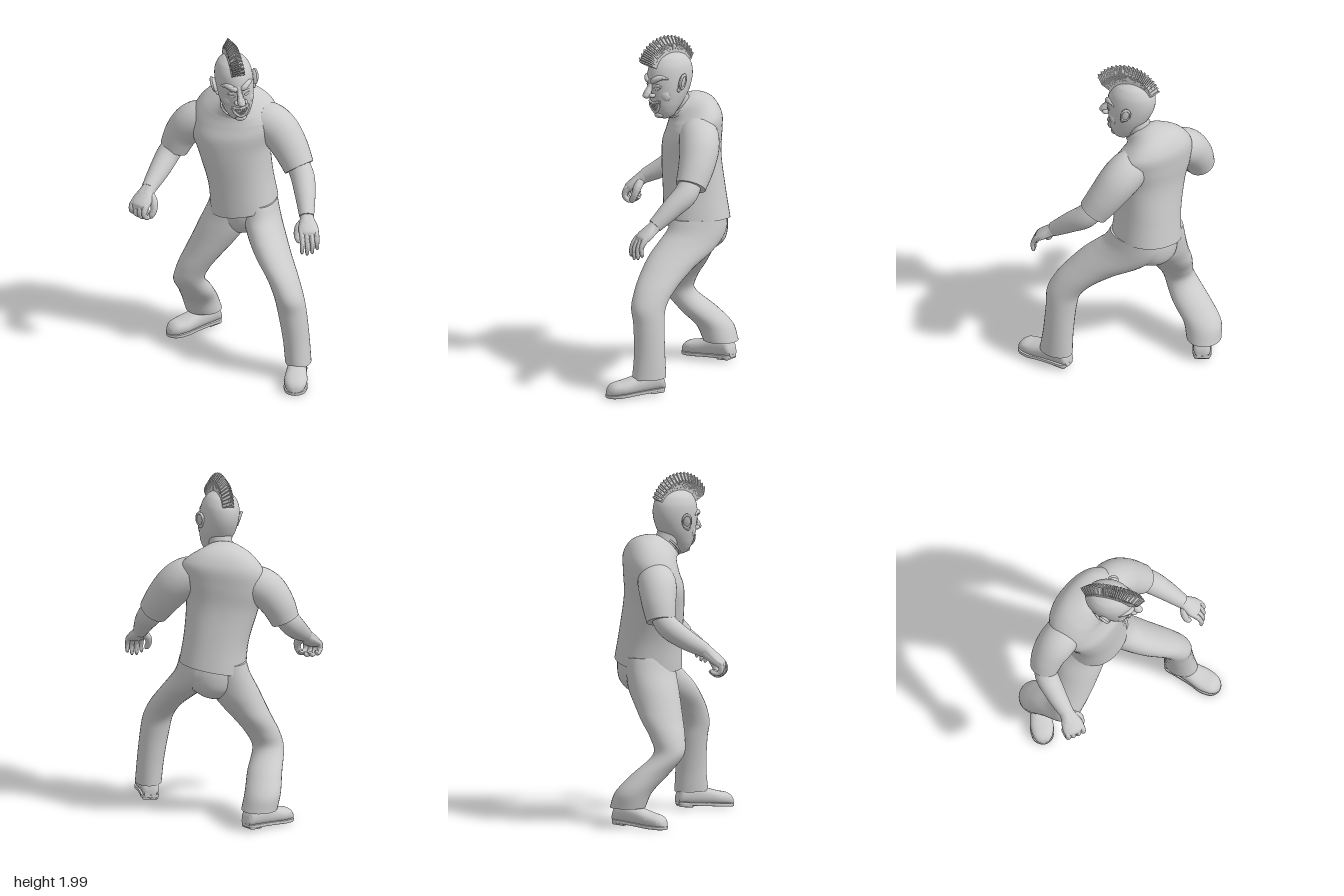
import * as THREE from 'three';
import { toCreasedNormals } from 'three/addons/utils/BufferGeometryUtils.js';
import { RoundedBoxGeometry } from 'three/addons/geometries/RoundedBoxGeometry.js';

const mat = new THREE.MeshStandardMaterial({ color: 0xcccccc, side: THREE.DoubleSide });
const V = (x, y, z) => new THREE.Vector3(x, y, z);

function add(parent, name, geo, pos = [0, 0, 0], rot = [0, 0, 0], scale = [1, 1, 1]) {
  const m = new THREE.Mesh(geo, mat);
  m.name = name;
  m.position.set(...pos);
  m.rotation.set(...rot);
  m.scale.set(...scale);
  parent.add(m);
  return m;
}
function group(parent, name) {
  const g = new THREE.Group();
  g.name = name;
  parent.add(g);
  return g;
}

// Smooth closed skin through elliptical sections [x, y, z, width, depth]; side = direction of width,
// axis(t) = optional ring normal, square = superellipse exponent
function loft(sections, { side = V(1, 0, 0), axis = null, seg = 28, steps = 6, crease = 0.9, square = 2 } = {}) {
  const path = new THREE.CatmullRomCurve3(sections.map(s => V(s[0], s[1], s[2])));
  const size = new THREE.CatmullRomCurve3(sections.map(s => V(s[3], s[4] ?? s[3], 0)), false, 'catmullrom', 0.5);
  const rows = (sections.length - 1) * steps, pos = [], idx = [];
  const bulge = c => Math.sign(c) * Math.abs(c) ** (2 / square);
  for (let i = 0; i <= rows; i++) {
    const p = path.getPoint(i / rows), r = size.getPoint(i / rows);
    const t = axis ? axis(i / rows) : path.getTangent(i / rows);
    const u = side.clone().addScaledVector(t, -side.dot(t)).normalize();
    const v = t.clone().cross(u);
    for (let j = 0; j < seg; j++) {
      const a = j / seg * Math.PI * 2;
      const q = p.clone().addScaledVector(u, bulge(Math.cos(a)) * Math.max(r.x, 0.002))
        .addScaledVector(v, bulge(Math.sin(a)) * Math.max(r.y, 0.002));
      pos.push(q.x, q.y, q.z);
      const k = i * seg + j, n = i * seg + (j + 1) % seg;
      if (i < rows) idx.push(k, n, k + seg, n, n + seg, k + seg);
    }
  }
  const first = pos.length / 3;
  pos.push(...sections[0].slice(0, 3), ...sections.at(-1).slice(0, 3));
  for (let j = 0; j < seg; j++) {
    const n = (j + 1) % seg, top = rows * seg;
    idx.push(first, n, j, first + 1, top + j, top + n);
  }
  const g = new THREE.BufferGeometry();
  g.setAttribute('position', new THREE.Float32BufferAttribute(pos, 3));
  g.setIndex(idx);
  return toCreasedNormals(g, crease);
}
const upright = () => V(0, 1, 0), downward = () => V(0, -1, 0);
const ball = new THREE.SphereGeometry(1, 24, 16);

// Head cross-sections: height, z centre, half width, half depth
const SKULL = [[-0.18, 0, 0.02, 0.02], [-0.168, -0.002, 0.043, 0.045], [-0.14, -0.005, 0.064, 0.066],
  [-0.1, -0.015, 0.083, 0.09], [-0.03, -0.035, 0.101, 0.12], [0.05, -0.047, 0.108, 0.138],
  [0.12, -0.052, 0.102, 0.13], [0.17, -0.053, 0.077, 0.097], [0.195, -0.053, 0.04, 0.052], [0.203, -0.053, 0.003, 0.003]];
function faceZ(x, y) {
  let i = 0;
  while (i < SKULL.length - 2 && SKULL[i + 1][0] < y) i++;
  const k = (y - SKULL[i][0]) / (SKULL[i + 1][0] - SKULL[i][0]);
  const [, c, w, d] = SKULL[i].map((s, n) => THREE.MathUtils.lerp(s, SKULL[i + 1][n], k));
  return c + d * Math.sqrt(Math.max(0, 1 - (x / w) ** 2));
}

function buildHead(root) {
  const head = group(root, 'head');
  head.position.set(0.078, 1.7, 0);
  head.rotation.z = 0.1;
  add(head, 'skull', loft(SKULL.map(([y, z, w, d]) => [0, y, z, w, d]), { axis: upright, seg: 40 }));

  // Nose, brow, eyes, cheeks and ears
  add(head, 'noseBridge', loft([[0, 0.06, 0.08, 0.012], [0, 0.01, 0.096, 0.016], [0, -0.03, 0.116, 0.023], [0, -0.048, 0.11, 0.008]]));
  add(head, 'noseTip', ball, [0, -0.03, 0.12], [0.3, 0, 0], [0.022, 0.018, 0.023]);
  for (const s of [-1, 1]) {
    add(head, 'nostril', ball, [s * 0.023, -0.034, 0.097], [0, 0, 0], [0.016, 0.013, 0.02]);
    add(head, 'brow', loft([[s * 0.006, 0.036, 0.086, 0.008], [s * 0.03, 0.052, 0.085, 0.017], [s * 0.062, 0.068, 0.062, 0.015], [s * 0.09, 0.058, 0.024, 0.005]], { side: V(0, 1, 0) }));
    add(head, 'eye', ball, [s * 0.042, 0.022, 0.066], [0, 0, 0], [0.02, 0.014, 0.015]);
    add(head, 'lowerEyelid', loft([[s * 0.018, 0.012, 0.082, 0.003], [s * 0.042, 0.003, 0.076, 0.008], [s * 0.068, 0.016, 0.056, 0.003]], { side: V(0, 1, 0) }));
    add(head, 'cheek', ball, [s * 0.056, -0.036, 0.034], [0, s * 0.6, s * 0.4], [0.036, 0.042, 0.026]);
    const ear = group(head, s > 0 ? 'leftEar' : 'rightEar');
    ear.position.set(s * 0.113, 0.03, -0.05);
    ear.rotation.set(-0.12, s * 0.45, -s * 0.18);
    add(ear, 'earBowl', ball, [0, 0, 0], [0, 0, 0], [0.014, 0.05, 0.028]);
    add(ear, 'earRim', new THREE.TorusGeometry(0.028, 0.006, 10, 28), [s * 0.008, 0.008, 0], [0, Math.PI / 2, 0], [0.9, 1.4, 1.2]);
    add(ear, 'earLobe', ball, [-s * 0.004, -0.042, 0.008], [0, 0, 0], [0.01, 0.016, 0.015]);
  }

  // Wide grin: curved lips with a row of teeth above and below
  const smile = (x, y, bend) => y + bend * (x / 0.05) ** 2;
  for (const [name, y, bend, r] of [['upperLip', -0.082, 0.014, 0.0075], ['lowerLip', -0.136, 0.062, 0.009]]) {
    const pts = [-0.052, -0.038, -0.02, 0, 0.02, 0.038, 0.052].map((x, i) => {
      const yy = smile(x, y, bend);
      return [x, yy, faceZ(x, yy) + 0.004, i % 6 ? r : 0.003];
    });
    add(head, name, loft(pts, { side: V(0, 1, 0), seg: 12 }));
  }
  for (let i = -3; i <= 3; i++) for (const [y, bend, name] of [[-0.097, 0.021, 'upperTooth'], [-0.118, 0.043, 'lowerTooth']]) {
    const x = i * 0.0115, yy = smile(x, y, bend);
    add(head, name, new RoundedBoxGeometry(0.0105, 0.021 - Math.abs(i) * 0.002, 0.012, 2, 0.003), [x, yy, faceZ(x, yy)], [0.25, x * 9, 0]);
  }
  add(head, 'chin', ball, [0, -0.155, 0.04], [0, 0, 0], [0.034, 0.02, 0.026]);

  // Crest of thin pointed plates fanned over the skull
  const crest = group(head, 'mohawk');
  const count = 38;
  for (let i = 0; i < count; i++) {
    const k = i / (count - 1), a = THREE.MathUtils.degToRad(30 + 118 * k);
    const tip = 0.238 - 0.05 * k * k + (i % 2) * 0.008, w = 0.036 - 0.003 * k;
    const plate = new THREE.Shape([[-w, 0.09], [w, 0.09], [w, tip - 0.045], [0, tip], [-w, tip - 0.04]].map(p => new THREE.Vector2(...p)));
    const geo = new THREE.ExtrudeGeometry(plate, { depth: 0.008, bevelEnabled: false });
    add(crest, 'crestPlate', geo, [0.003, 0.06, -0.05], [Math.PI / 2 - a, 0, 0]);
  }
}

// Hand in its own frame: +y along the fingers, +x to the thumb, palm on the +z or -z side
function buildHand(root, name, wrist, thumbDir, fingerDir, palm, curl, scale) {
  const hand = group(root, name);
  const y = fingerDir.normalize(), x = thumbDir.addScaledVector(y, -thumbDir.dot(y)).normalize();
  hand.applyMatrix4(new THREE.Matrix4().makeBasis(x, y, x.clone().cross(y)).setPosition(...wrist));
  hand.scale.setScalar(scale);
  add(hand, 'palm', loft([[0, -0.025, 0, 0.032, 0.032], [0, 0.01, 0, 0.036, 0.03], [0, 0.06, 0, 0.05, 0.026], [0, 0.095, 0, 0.047, 0.021], [0, 0.112, 0, 0.02, 0.006]]));
  for (let f = 0; f < 4; f++) {
    const fx = 0.036 - f * 0.024, len = [0.031, 0.034, 0.032, 0.026][f], pts = [[fx, 0.078, 0, 0.014]];
    let py = 0.096, pz = 0;
    pts.push([fx, py, pz, 0.015]);
    for (let j = 1; j <= 3; j++) {
      const a = curl * (j - 0.4) + f * 0.05;
      py += Math.cos(a) * len;
      pz += palm * Math.sin(a) * len;
      pts.push([fx * (1 + j * 0.03), py, pz, 0.0145 - j * 0.0018]);
    }
    const e = pts.at(-1), b = pts.at(-2);
    pts.push([e[0], e[1] + (e[1] - b[1]) * 0.28, e[2] + (e[2] - b[2]) * 0.28, 0.004]);
    add(hand, 'finger', loft(pts, { seg: 12, steps: 4, crease: 1.4 }));
  }
  add(hand, 'thumb', loft([[0.02, 0.02, palm * 0.005, 0.02], [0.046, 0.045, palm * 0.022, 0.019], [0.055, 0.075, palm * 0.042, 0.015],
    [0.048, 0.1, palm * 0.055, 0.013], [0.043, 0.112, palm * 0.059, 0.004]], { side: V(0, 0, 1), seg: 14, crease: 1.4 }));
}

// Shoe along +z with the heel behind the ankle
function buildShoe(root, name, pos, yaw) {
  const shoe = group(root, name);
  shoe.position.set(...pos);
  shoe.rotation.set(0.07, yaw, 0, 'YXZ');
  const outline = new THREE.Shape();
  outline.setFromPoints(new THREE.SplineCurve([[0, -0.092], [0.045, -0.075], [0.05, 0], [0.055, 0.09], [0.065, 0.16], [0.05, 0.225],
    [0, 0.252], [-0.05, 0.225], [-0.065, 0.16], [-0.055, 0.09], [-0.05, 0], [-0.045, -0.075], [0, -0.092]].map(p => new THREE.Vector2(...p))).getPoints(60));
  const sole = new THREE.ExtrudeGeometry(outline, { depth: 0.012, bevelSize: 0.003, bevelThickness: 0.003, bevelSegments: 2 });
  add(shoe, 'sole', toCreasedNormals(sole, 0.6), [0, 0.02, 0], [Math.PI / 2, 0, 0]);
  add(shoe, 'heel', new RoundedBoxGeometry(0.09, 0.02, 0.08, 2, 0.008), [0, 0.004, -0.043]);
  const upper = [[-0.092, 0.035, 0.03], [-0.075, 0.048, 0.05], [0, 0.053, 0.056], [0.07, 0.058, 0.05],
    [0.15, 0.066, 0.041], [0.21, 0.056, 0.036], [0.24, 0.034, 0.024], [0.252, 0.008, 0.008]];
  add(shoe, 'upper', loft(upper.map(([z, w, h]) => [0, 0.008 + h, z, w, h]), { axis: () => V(0, 0, 1), square: 2.4 }));
  add(shoe, 'ankleCollar', new THREE.TorusGeometry(0.045, 0.012, 10, 28), [0, 0.105, -0.01], [Math.PI / 2 + 0.1, 0, 0], [1, 1.2, 1]);
}

export function createModel() {
  const root = new THREE.Group();
  root.name = 'crouchingMan';
  const across = V(0.89, 0, 0.455); // body turned towards its right

  // Shirt: rings lean forward towards the collar
  const lean = new THREE.SplineCurve([0, 0, 0.02, 0.1, 0.25, 0.48, 0.75, 0.8].map((a, i) => new THREE.Vector2(i, a)));
  add(root, 'shirt', loft([[0.162, 0.905, -0.17, 0.192, 0.192], [0.138, 1.08, -0.17, 0.186, 0.178], [0.105, 1.27, -0.173, 0.208, 0.17],
    [0.1, 1.39, -0.182, 0.242, 0.172], [0.108, 1.485, -0.19, 0.242, 0.162], [0.104, 1.55, -0.167, 0.182, 0.137],
    [0.089, 1.574, -0.12, 0.104, 0.1], [0.084, 1.574, -0.087, 0.076, 0.077]],
  { side: across, seg: 44, square: 2.25, axis: t => { const a = lean.getPoint(t).y; return V(-0.2, Math.cos(a), Math.sin(a)).normalize(); } }));
  add(root, 'collar', new THREE.TorusGeometry(0.077, 0.006, 10, 36), [0.084, 1.575, -0.086], [Math.PI / 2 + 0.8, 0, 0]);

  // Short sleeves and forearms
  const sleeves = {
    left: [[0.2, 1.435, -0.15, 0.095], [0.275, 1.435, -0.108, 0.112], [0.335, 1.392, -0.07, 0.114], [0.388, 1.307, -0.015, 0.104], [0.43, 1.2, 0.055, 0.088]],
    right: [[0.02, 1.405, -0.24, 0.09], [-0.05, 1.402, -0.28, 0.106], [-0.11, 1.368, -0.315, 0.109], [-0.163, 1.293, -0.348, 0.098], [-0.205, 1.195, -0.364, 0.083]],
  };
  const forearms = {
    left: [[0.4, 1.27, 0.015, 0.06], [0.438, 1.17, 0.09, 0.068], [0.435, 1.1, 0.18, 0.06], [0.42, 1.005, 0.295, 0.042]],
    right: [[-0.18, 1.25, -0.36, 0.06], [-0.24, 1.17, -0.345, 0.066], [-0.31, 1.1, -0.28, 0.059], [-0.392, 1.033, -0.193, 0.042]],
  };
  for (const s of ['left', 'right']) {
    add(root, s + 'Sleeve', loft(sleeves[s], { side: across }));
    add(root, s + 'Forearm', loft(forearms[s], { side: across }));
  }
  buildHand(root, 'leftHand', [0.42, 1.0, 0.298], V(-1, -0.1, 0.1), V(-0.06, -0.58, 0.81), -1, 0.37, 1.14);
  buildHand(root, 'rightHand', [-0.394, 1.03, -0.19], V(0.66, 0, 0.75), V(-0.6, -0.63, 0.54), 1, 1.1, 1.24);

  // Trousers: level rings let each thigh flow out of its half of the seat
  add(root, 'seat', loft([[0.163, 0.97, -0.175, 0.17, 0.165], [0.165, 0.88, -0.178, 0.178, 0.17], [0.16, 0.8, -0.185, 0.15, 0.152],
    [0.152, 0.745, -0.19, 0.085, 0.1], [0.15, 0.715, -0.19, 0.02, 0.02]], { side: across, axis: upright, seg: 36 }));
  add(root, 'leftTrouserLeg', loft([[0.24, 0.95, -0.137, 0.103, 0.165], [0.243, 0.88, -0.115, 0.108, 0.178], [0.248, 0.82, -0.065, 0.108, 0.19],
    [0.255, 0.76, 0.005, 0.108, 0.185], [0.268, 0.69, 0.098, 0.103, 0.155], [0.3, 0.59, 0.21, 0.09, 0.122], [0.322, 0.5, 0.27, 0.085, 0.102],
    [0.338, 0.41, 0.28, 0.083, 0.09], [0.36, 0.24, 0.29, 0.077, 0.09], [0.37, 0.1, 0.3, 0.075, 0.1]], { side: V(0.97, 0, 0.24), axis: downward }));
  add(root, 'rightTrouserLeg', loft([[0.09, 0.95, -0.212, 0.103, 0.15], [0.08, 0.87, -0.215, 0.118, 0.153], [0.05, 0.77, -0.22, 0.138, 0.147],
    [0.0, 0.68, -0.228, 0.128, 0.135], [-0.052, 0.6, -0.238, 0.112, 0.124], [-0.115, 0.5, -0.245, 0.097, 0.1], [-0.142, 0.42, -0.258, 0.09, 0.088],
    [-0.085, 0.3, -0.352, 0.097, 0.112], [-0.04, 0.2, -0.435, 0.102, 0.108], [-0.012, 0.115, -0.455, 0.103, 0.1]], { axis: downward }));
  buildShoe(root, 'leftShoe', [0.365, 0.014, 0.3], -0.28);
  buildShoe(root, 'rightShoe', [-0.005, 0.014, -0.445], -1.22);

  add(root, 'neck', loft([[0.086, 1.5, -0.15, 0.064], [0.084, 1.6, -0.1, 0.066], [0.08, 1.7, -0.06, 0.075]], { side: across }));
  buildHead(root);
  return root;
}
